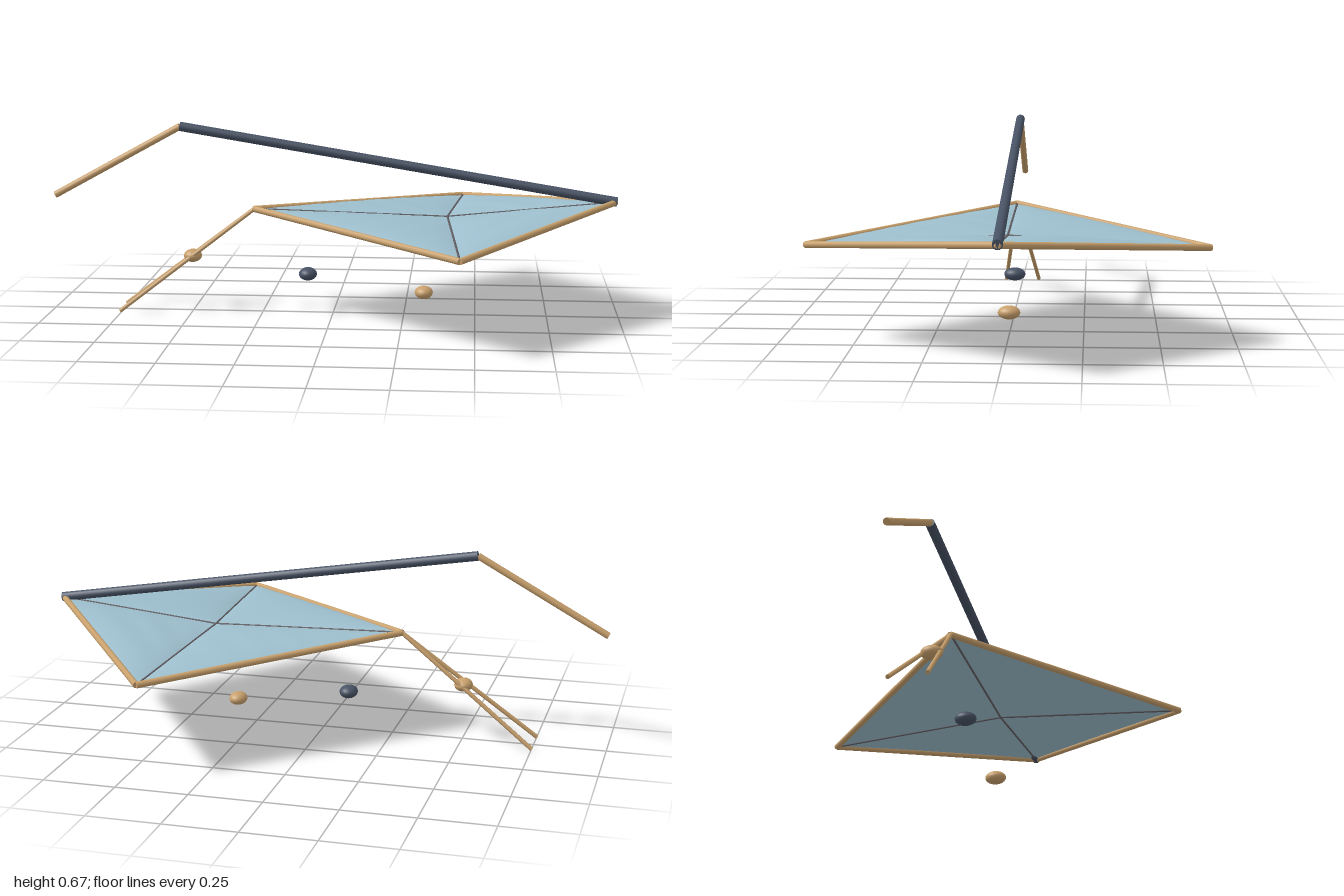
import * as THREE from 'three';

export function createModel() {
  const model = new THREE.Group();
  const mat = (name, color, side = THREE.FrontSide) => {
    const m = new THREE.MeshStandardMaterial({ color, side });
    m.name = name;
    return m;
  };
  const wood = mat('tan wood', 0xc8a06c);
  const slate = mat('slate', 0x475264);
  const cloth = mat('pale blue cloth', 0x9dbecd, THREE.DoubleSide);
  const seam = mat('seam grey', 0x625e62);
  const V = (x, y, z) => new THREE.Vector3(x, y, z);

  const add = (name, geometry, material) => {
    const mesh = new THREE.Mesh(geometry, material);
    mesh.name = name;
    model.add(mesh);
    return mesh;
  };

  // Straight round bar between two points
  const bar = (name, a, b, radius, material, sides = 12) => {
    const d = b.clone().sub(a);
    const mesh = add(name, new THREE.CylinderGeometry(radius, radius, d.length(), sides), material);
    mesh.position.copy(a).add(b).multiplyScalar(0.5);
    mesh.quaternion.setFromUnitVectors(V(0, 1, 0), d.normalize());
  };

  const nose = V(0.98, 0.41, 0);
  const tail = V(-0.28, 0.37, 0);
  const centre = V(0.4, 0.352, 0);
  const wings = { left: V(0.45, 0.325, -0.66), right: V(0.45, 0.325, 0.66) };
  const top = V(-0.54, 0.66, 0);

  // Long mast and its bent end
  bar('mast', top, V(0.985, 0.412, 0), 0.0165, slate, 16);
  bar('mastTip', top, V(-0.99, 0.412, 0), 0.012, wood);

  // Triangular sail panel, billowed upward with fine ripples
  const panel = (a, b, c) => {
    const n = 24, pos = [], index = [];
    const id = (i, j) => i * (n + 1) - (i * (i - 1)) / 2 + j;
    for (let i = 0; i <= n; i++) {
      for (let j = 0; j <= n - i; j++) {
        const u = i / n, v = j / n, w = Math.max(0, 1 - u - v);
        const p = V(0, 0, 0).addScaledVector(a, u).addScaledVector(b, v).addScaledVector(c, w);
        const bulge = Math.pow(27 * u * v * w, 0.7);
        p.y += bulge * (0.018 + 0.0015 * Math.sin(38 * p.x + 30 * Math.abs(p.z)));
        pos.push(p.x, p.y, p.z);
        if (i + j < n) index.push(id(i, j), id(i + 1, j), id(i, j + 1));
        if (i + j < n - 1) index.push(id(i + 1, j), id(i + 1, j + 1), id(i, j + 1));
      }
    }
    const g = new THREE.BufferGeometry();
    g.setAttribute('position', new THREE.Float32BufferAttribute(pos, 3));
    g.setIndex(index);
    g.computeVertexNormals();
    return g;
  };

  for (const [side, wing] of Object.entries(wings)) {
    // Corner order keeps each panel facing up
    const flip = wing.z > 0;
    const tri = (p, q) => (flip ? panel(q, p, centre) : panel(p, q, centre));
    add(side + 'FrontSail', tri(nose, wing), cloth);
    add(side + 'RearSail', tri(wing, tail), cloth);
    bar(side + 'FrontFrame', nose, wing, 0.011, wood);
    bar(side + 'RearFrame', tail, wing, 0.011, wood);
    bar(side + 'CrossSeam', centre, wing, 0.004, seam, 6);
    // Splayed tail streamers
    bar(side + 'Streamer', tail, V(-0.753, 0.008, Math.sign(wing.z) * 0.064), 0.0075, wood, 8);
  }
  bar('frontSeam', centre, nose, 0.004, seam, 6);
  bar('rearSeam', centre, tail, 0.004, seam, 6);

  // Row of flattened beads
  [[-0.5, 0.2, wood], [-0.09, 0.14, slate], [0.32, 0.08, wood]].forEach(([x, y, m], i) => {
    const bead = add('bead' + (i + 1), new THREE.SphereGeometry(1, 24, 16), m);
    bead.scale.set(0.032, 0.023, 0.038);
    bead.position.set(x, y, 0);
  });

  return model;
}
